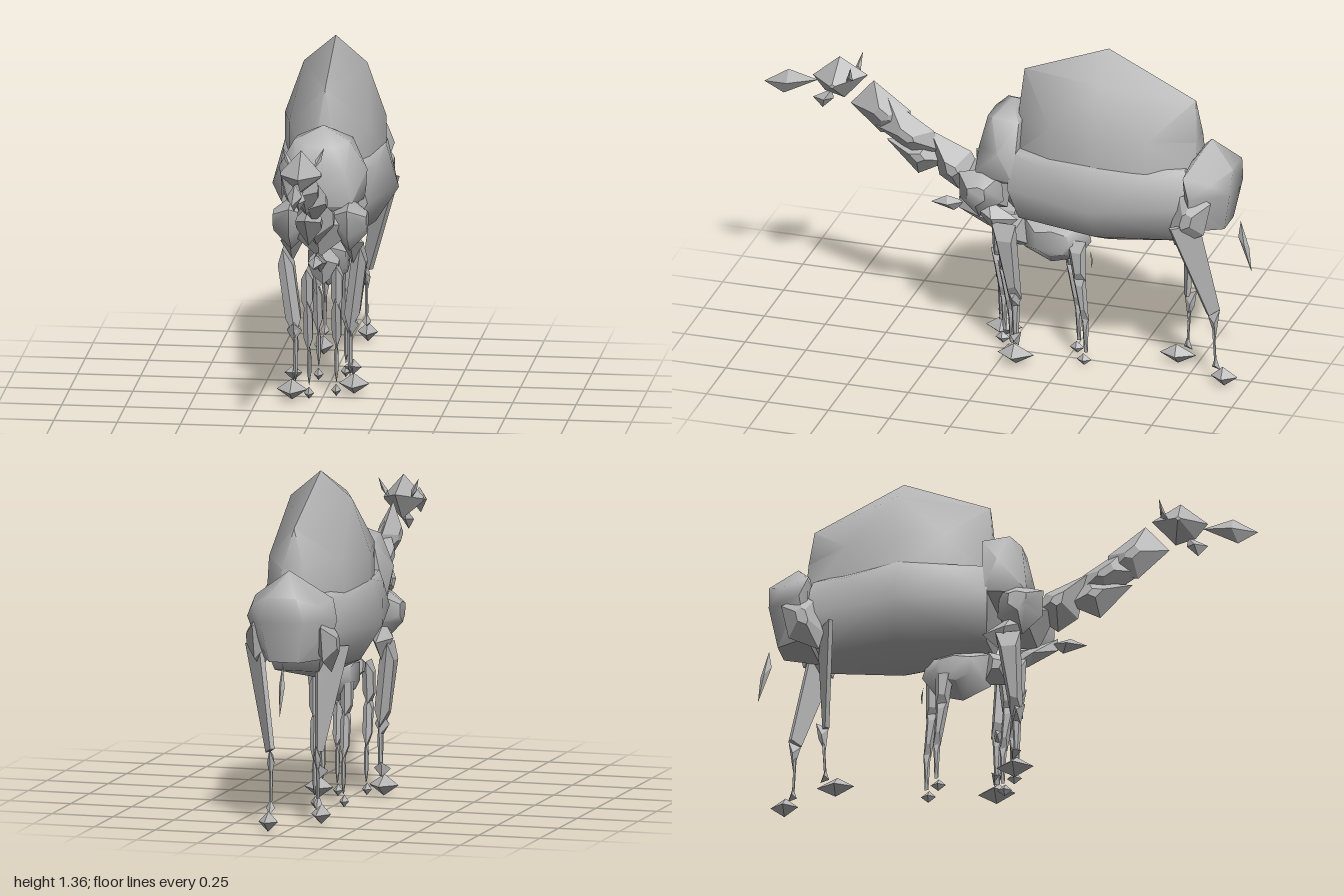
import * as THREE from 'three';
import { ConvexGeometry } from 'three/addons/geometries/ConvexGeometry.js';
import { toCreasedNormals } from 'three/addons/utils/BufferGeometryUtils.js';

export function createModel() {
  const model = new THREE.Group();
  model.name = 'camelAndCalf';
  const grey = new THREE.MeshStandardMaterial({ color: 0xb4b4b4 });
  grey.name = 'stoneGrey';

  // Faceted solid around a cloud of corner points
  function hull(name, points, crease = 0.15) {
    const geometry = toCreasedNormals(new ConvexGeometry(points), crease);
    const mesh = new THREE.Mesh(geometry, grey);
    mesh.name = name;
    model.add(mesh);
  }

  // Symmetric body mass from [halfWidth, y, z] corners
  function mass(name, corners) {
    const points = corners.flatMap(([x, y, z]) => x
      ? [new THREE.Vector3(x, y, z), new THREE.Vector3(-x, y, z)]
      : [new THREE.Vector3(0, y, z)]);
    hull(name, points, 1);
  }

  // Gem-like piece: a side outline of [z, y] points bulging to half width w.
  // inner = size of the bulged face, lean = sideways shift per unit of height
  function shard(name, outline, w, x = 0, inner = 0, lean = 0, crease = 0.15) {
    const n = outline.length;
    const cz = outline.reduce((s, p) => s + p[0], 0) / n;
    const cy = outline.reduce((s, p) => s + p[1], 0) / n;
    const points = [];
    for (const [z, y] of outline) {
      points.push(new THREE.Vector3(x + lean * (y - cy), y, z));
      for (const side of [-1, 1]) {
        const dy = (y - cy) * inner;
        points.push(new THREE.Vector3(x + side * w + lean * dy, cy + dy, cz + (z - cz) * inner));
      }
    }
    hull(name, points, crease);
  }

  // Flat slanted limb through [x, y, z] corners, t thick across the diagonal
  function blade(name, corners, t, side) {
    hull(name, corners.flatMap(([x, y, z]) => [-t, t].map((d) => new THREE.Vector3(x + d * side, y, z - d))));
  }

  // Hump (lens-shaped in plan), belly, withers and rump
  mass('hump', [
    [0, 1.365, -0.417], [0.125, 1.26, -0.41], [0.2, 1.05, -0.41], [0.2, 0.88, -0.41],
    [0, 1.23, -0.07], [0.05, 1.05, -0.06], [0.06, 0.88, -0.04],
    [0, 1.19, -0.775], [0.045, 1.03, -0.79], [0.06, 0.88, -0.8],
    [0.16, 1.06, -0.22], [0.15, 1.05, -0.62], [0.16, 0.88, -0.22], [0.16, 0.88, -0.62],
  ]);
  mass('belly', [
    [0.2, 0.94, -0.4], [0.25, 0.76, -0.41], [0.16, 0.62, -0.41], [0, 0.54, -0.42],
    [0.13, 0.92, -0.06], [0.17, 0.78, -0.05], [0.08, 0.62, -0.07],
    [0.1, 0.93, -0.76], [0.13, 0.78, -0.81], [0.09, 0.62, -0.74],
    [0.19, 0.9, -0.2], [0.18, 0.9, -0.62],
  ]);
  mass('withers', [
    [0, 1.1, -0.02], [0.11, 1.05, 0.03], [0.11, 1.04, -0.08], [0.175, 0.93, -0.01],
    [0.05, 1.03, 0.065], [0.1, 0.92, 0.085], [0.12, 0.8, 0.1], [0.16, 0.8, -0.07], [0.05, 0.74, 0.06],
  ]);
  mass('rump', [
    [0, 1.035, -0.84], [0.09, 0.96, -0.78], [0.16, 0.92, -0.77], [0.185, 0.84, -0.8], [0.06, 0.94, -0.945],
    [0.09, 0.84, -0.94], [0.06, 0.68, -0.91], [0.13, 0.68, -0.78], [0.14, 0.9, -0.88],
  ]);
  shard('tail', [[-0.955, 0.69], [-0.945, 0.62], [-1, 0.475], [-0.99, 0.58]], 0.012, -0.01);

  // Neck: overlapping facets rising from chest to head
  const neck = [
    [[[0.55, 1.09], [0.645, 0.98], [0.52, 0.87], [0.4, 0.9], [0.4, 0.98]], 0.045, 0],
    [[[0.49, 1.03], [0.54, 0.9], [0.38, 0.8], [0.27, 0.83], [0.3, 0.91]], 0.055, 0.01],
    [[[0.5, 0.84], [0.37, 0.71], [0.24, 0.78], [0.32, 0.87]], 0.05, -0.01],
    [[[0.32, 0.91], [0.28, 0.72], [0.2, 0.67], [0.1, 0.75], [0.15, 0.84]], 0.07, 0],
  ];
  neck.forEach(([o, w, x], i) => shard('neckFacet' + (i + 1), o, w, x, 0.25));

  // Head
  shard('skull', [[0.8, 1.08], [0.69, 1.175], [0.575, 1.11], [0.67, 1.0], [0.75, 1.02]], 0.08, 0, 0.1);
  shard('muzzle', [[1, 1.025], [0.9, 1.09], [0.78, 1.06], [0.92, 0.985]], 0.03);
  shard('jaw', [[0.8, 0.985], [0.72, 1.03], [0.715, 0.99], [0.76, 0.945]], 0.025);
  for (const s of [-1, 1]) {
    shard('ear', [[0.65, 1.09], [0.62, 1.17], [0.62, 1.1]], 0.012, s * 0.06, 0, s * 0.45);
  }

  // Chest and shoulders
  shard('chest', [[0.2, 0.76], [0.12, 0.82], [-0.02, 0.78], [0.0, 0.62], [0.12, 0.6]], 0.09, 0, 0.4);
  for (const s of [-1, 1]) {
    shard('shoulder', [[0.165, 0.8], [0.06, 0.83], [-0.01, 0.81], [-0.02, 0.7], [0.08, 0.62], [0.16, 0.69]],
      0.07, s * 0.115, 0.4, 0, 0.9);
    shard('elbow', [[0.11, 0.67], [0.04, 0.7], [-0.08, 0.63], [0.0, 0.55]], 0.045, s * 0.12);
  }

  // Legs in stride: the two sides differ in z
  function foot(name, x, z, r, h, w) {
    shard(name, [[z + r, h * 0.5], [z + r * 0.1, h], [z - r, h * 0.55], [z, 0.005]], w, x);
  }
  for (const [s, z] of [[-1, 0.06], [1, -0.06]]) {
    const t = z * 0.5;
    shard('frontUpperLeg', [[t + 0.05, 0.62], [t - 0.05, 0.62], [z - 0.03, 0.28], [z + 0.02, 0.26]],
      0.03, s * 0.125, 0.6, s * 0.14);
    shard('frontKnee', [[z + 0.03, 0.32], [z - 0.02, 0.34], [z - 0.02, 0.25], [z + 0.01, 0.24]], 0.03, s * 0.105);
    shard('frontShin', [[z + 0.015, 0.3], [z - 0.025, 0.3], [z - 0.015, 0.08], [z + 0.005, 0.08]], 0.009, s * 0.1, 0.5);
    shard('frontAnkle', [[z + 0.015, 0.12], [z - 0.03, 0.14], [z - 0.02, 0.08]], 0.035, s * 0.11);
    foot('frontFoot', s * 0.115, z - 0.01, 0.075, 0.09, 0.06);
  }
  const hindLegs = [
    { s: 1, x: 0.065, knee: -0.865, ankle: -0.875, foot: -0.91, r: 0.055,
      thigh: [[0.205, 0.72, -0.73], [0.12, 0.72, -0.82], [0.055, 0.33, -0.885], [0.085, 0.31, -0.85]] },
    { s: -1, x: -0.08, knee: -0.725, ankle: -0.715, foot: -0.675, r: 0.075,
      thigh: [[-0.19, 0.72, -0.67], [-0.08, 0.72, -0.74], [-0.075, 0.3, -0.72], [-0.095, 0.3, -0.705]] },
  ];
  for (const { s, x, thigh, knee, ankle, foot: fz, r } of hindLegs) {
    shard('haunch', [[-0.75, 0.83], [-0.8, 0.86], [-0.88, 0.82], [-0.85, 0.68], [-0.73, 0.62], [-0.71, 0.69]],
      0.045, s * 0.14, 0.3);
    blade('thigh', thigh, 0.007, s);
    shard('hock', [[knee + 0.022, 0.3], [knee - 0.028, 0.33], [knee - 0.018, 0.26], [ankle, 0.2]], 0.015, x);
    shard('hindShin', [[knee + 0.006, 0.28], [knee - 0.006, 0.28], [ankle - 0.005, 0.09], [ankle + 0.005, 0.09]],
      0.006, x, 0.6);
    shard('hindAnkle', [[ankle + 0.015, 0.08], [ankle, 0.13], [ankle - 0.02, 0.07]], 0.018, x);
    foot('hindFoot', x, fz, r, 0.085, 0.04);
  }

  // Calf sheltering under the belly
  shard('calfBody', [[-0.06, 0.6], [-0.2, 0.625], [-0.32, 0.6], [-0.345, 0.52], [-0.29, 0.44], [-0.18, 0.41], [-0.07, 0.46]],
    0.075, 0, 0.5, 0, 0.95);
  shard('calfChest', [[0.04, 0.57], [-0.08, 0.61], [-0.1, 0.47], [0.0, 0.46]], 0.06, 0, 0.3);
  shard('calfNeck', [[0.2, 0.64], [0.06, 0.6], [-0.02, 0.52], [0.08, 0.53], [0.2, 0.59]], 0.03);
  shard('calfHead', [[0.315, 0.6], [0.25, 0.635], [0.17, 0.62], [0.22, 0.575]], 0.03);
  shard('calfTail', [[-0.34, 0.48], [-0.35, 0.44], [-0.345, 0.4]], 0.008);
  for (const s of [-1, 1]) {
    const legs = [['Front', 0.02 - s * 0.03], ['Hind', -0.285 - s * 0.03]];
    for (const [end, z] of legs) {
      const top = end === 'Hind' ? z + 0.01 : z - 0.01;
      shard('calf' + end + 'Thigh', [[top + 0.045, 0.54], [top - 0.035, 0.54], [z - 0.025, 0.37], [z + 0.025, 0.36]],
        0.022, s * 0.055, 0.5);
      shard('calf' + end + 'Leg', [[z + 0.035, 0.41], [z - 0.02, 0.4], [z - 0.035, 0.2], [z - 0.005, 0.2]],
        0.018, s * 0.052, 0.5);
      shard('calf' + end + 'Shin', [[z - 0.005, 0.23], [z - 0.035, 0.22], [z - 0.03, 0.06], [z - 0.015, 0.06]],
        0.008, s * 0.05, 0.4);
      foot('calf' + end + 'Foot', s * 0.05, z - 0.015, 0.03, 0.055, 0.02);
    }
  }
  return model;
}
